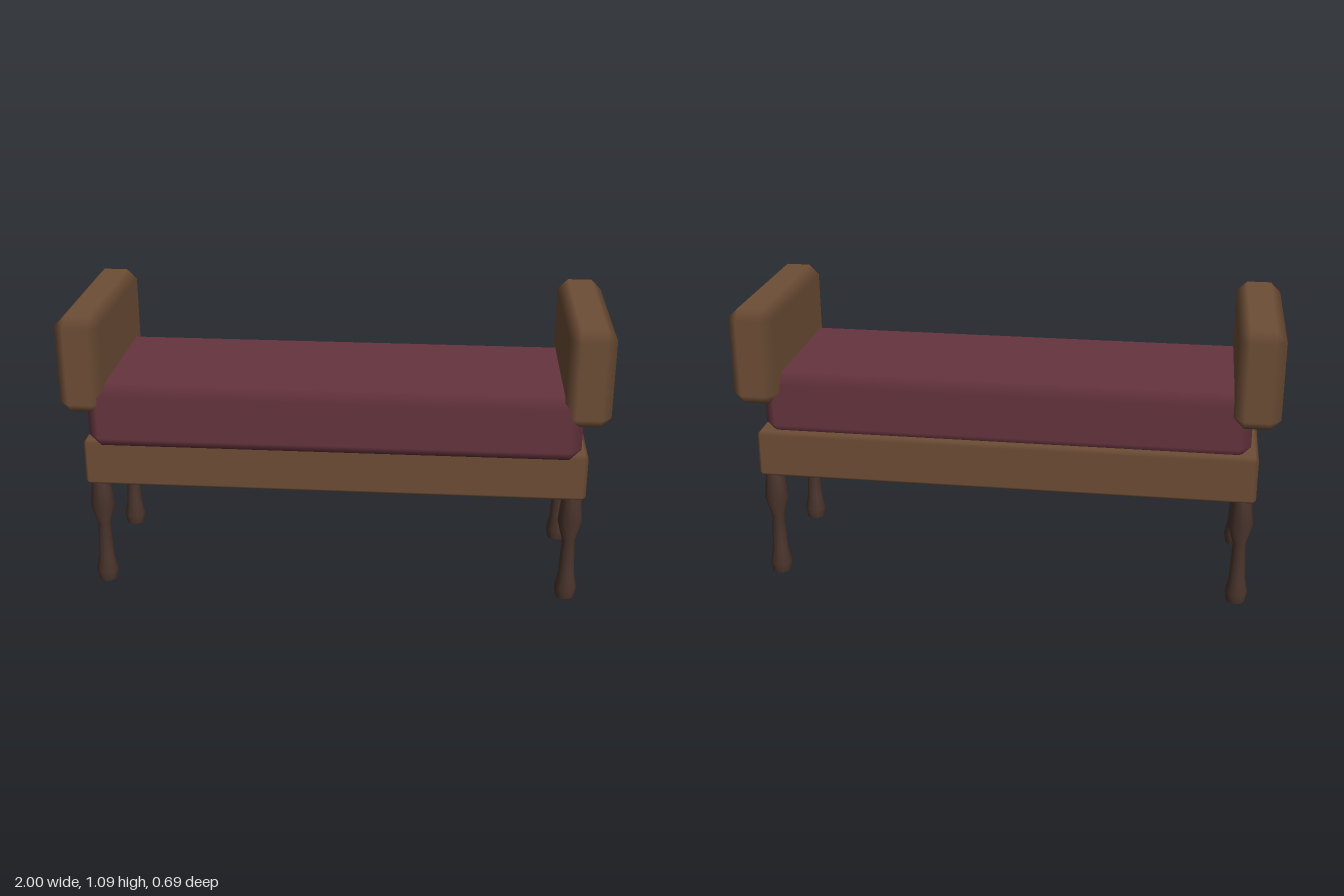
import * as THREE from 'three';

const wood = new THREE.MeshStandardMaterial({ color: 0x6e4e36 });
const fabric = new THREE.MeshStandardMaterial({ color: 0x66343e });
const darkWood = new THREE.MeshStandardMaterial({ color: 0x4a342c });

// Box with a single 45 degree chamfer; flat faces blend smoothly across the chamfers
function chamferBox(w, h, d, chamfer) {
  const half = [w / 2, h / 2, d / 2];
  const position = [], normal = [], index = [];
  const id = (axis, s) => (s[0] > 0 ? 12 : 0) + (s[1] > 0 ? 6 : 0) + (s[2] > 0 ? 3 : 0) + axis;
  for (const x of [-1, 1]) for (const y of [-1, 1]) for (const z of [-1, 1]) {
    const s = [x, y, z];
    for (let axis = 0; axis < 3; axis++) {
      position.push(...s.map((v, k) => v * (half[k] - (k === axis ? 0 : chamfer))));
      normal.push(...s.map((v, k) => (k === axis ? v : 0)));
    }
  }
  const point = i => new THREE.Vector3().fromArray(position, i * 3);
  // Wind every triangle outwards from the centre
  const tri = (a, b, c) => {
    const p = point(a);
    const n = point(b).sub(p).cross(point(c).sub(p));
    if (n.dot(p) > 0) index.push(a, b, c);
    else index.push(a, c, b);
  };
  const quad = (a, b, c, e) => { tri(a, b, c); tri(a, c, e); };
  for (let a = 0; a < 3; a++) {
    const b = (a + 1) % 3, c = (a + 2) % 3;
    const signs = (sa, sb, sc) => { const s = []; s[a] = sa; s[b] = sb; s[c] = sc; return s; };
    for (const s of [-1, 1]) {
      quad(...[[-1, -1], [1, -1], [1, 1], [-1, 1]].map(([p, q]) => id(a, signs(s, p, q))));
      for (const t of [-1, 1]) {
        const lo = signs(-1, s, t), hi = signs(1, s, t);
        quad(id(b, lo), id(b, hi), id(c, hi), id(c, lo));
      }
    }
  }
  for (let i = 0; i < 24; i += 3) tri(i, i + 1, i + 2);
  const geometry = new THREE.BufferGeometry();
  geometry.setAttribute('position', new THREE.Float32BufferAttribute(position, 3));
  geometry.setAttribute('normal', new THREE.Float32BufferAttribute(normal, 3));
  geometry.setIndex(index);
  return geometry;
}

export function createModel() {
  const bench = new THREE.Group();
  bench.name = 'bench';

  const add = (name, geometry, material, x, y, z, parent = bench) => {
    const mesh = new THREE.Mesh(geometry, material);
    mesh.name = name;
    mesh.position.set(x, y, z);
    parent.add(mesh);
    return mesh;
  };

  // Seat frame and cushion, the cushion overhanging the front
  add('seatFrame', chamferBox(1.87, 0.18, 0.58, 0.013), wood, 0, 0.51, 0);
  add('cushion', chamferBox(1.81, 0.245, 0.615, 0.042), fabric, 0, 0.708, 0.025);

  // Armrests
  const arm = chamferBox(0.166, 0.365, 0.692, 0.038);
  add('leftArmrest', arm, wood, 0.917, 0.9075, 0);
  add('rightArmrest', arm, wood, -0.917, 0.9075, 0);

  // Turned legs
  const profile = [
    [0.035, 0], [0.042, 0.04], [0.03, 0.1], [0.024, 0.24], [0.046, 0.32], [0.035, 0.425],
  ].map(([r, y]) => new THREE.Vector2(r, y));
  const turned = new THREE.LatheGeometry(profile, 12);
  const sole = new THREE.CircleGeometry(0.035, 12).rotateX(Math.PI / 2);
  for (const [side, x] of [['Left', 0.887], ['Right', -0.887]]) {
    for (const [end, z] of [['front', 0.245], ['back', -0.245]]) {
      const leg = new THREE.Group();
      leg.name = `${end}${side}Leg`;
      leg.position.set(x, 0, z);
      add('turnedPost', turned, darkWood, 0, 0, 0, leg);
      add('sole', sole, darkWood, 0, 0, 0, leg);
      bench.add(leg);
    }
  }
  return bench;
}
